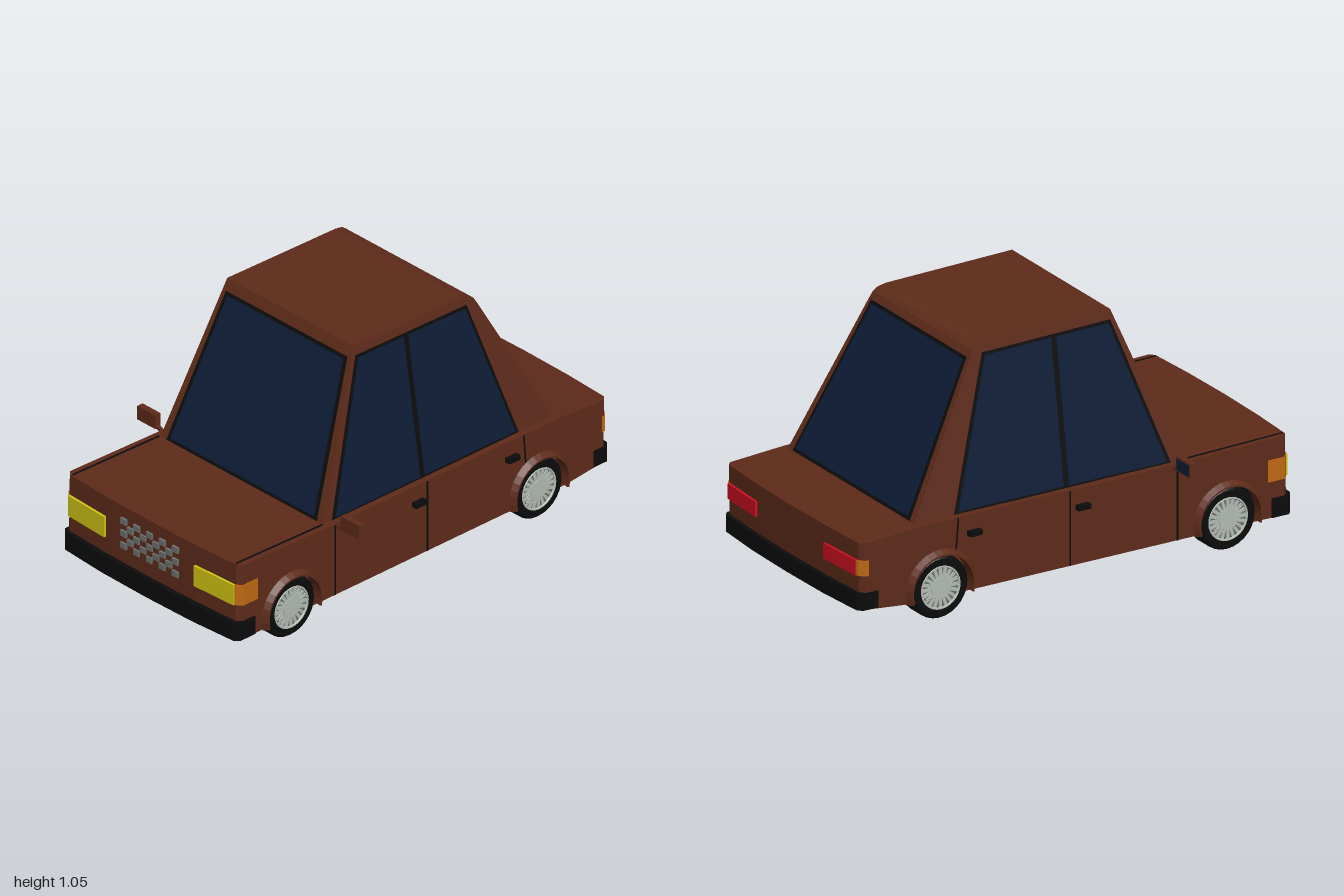
import * as THREE from 'three';

const mat = (color) => new THREE.MeshStandardMaterial({ color, flatShading: true, side: THREE.DoubleSide });

// Plan curvature of nose and tail: how far the ends pull in at a given z
function inset(z) {
  const a = Math.abs(z);
  if (a < 0.25) return a * 0.016;
  return 0.004 + (Math.min(a, 0.465) - 0.25) * 0.05 + Math.max(0, a - 0.465) * 0.9;
}

// Side profile (x, y) swept through z stations; width(y) scales each station,
// cap is an optional different outline for the two ends
function loft(profile, zs, width = () => 1, cap = profile) {
  const ccw = (pts) => {
    const v = pts.map(([x, y]) => new THREE.Vector2(x, y));
    return THREE.ShapeUtils.isClockWise(v) ? v.reverse() : v;
  };
  const pos = [];
  const put = (p, s) => {
    const z = s * width(p.y);
    const x = Math.abs(p.x) > 0.9 ? p.x - Math.sign(p.x) * inset(z) : p.x;
    pos.push(x, p.y, z);
  };
  const ring = ccw(profile), end = ccw(cap);
  for (let k = 0; k < zs.length - 1; k++) {
    ring.forEach((p, i) => {
      const q = ring[(i + 1) % ring.length], a = zs[k], b = zs[k + 1];
      put(p, a); put(q, a); put(q, b);
      put(p, a); put(q, b); put(p, b);
    });
  }
  for (const [a, b, c] of THREE.ShapeUtils.triangulateShape(end, [])) {
    [a, b, c].forEach((i) => put(end[i], zs[zs.length - 1]));
    [a, c, b].forEach((i) => put(end[i], zs[0]));
  }
  const g = new THREE.BufferGeometry();
  g.setAttribute('position', new THREE.Float32BufferAttribute(pos, 3));
  g.computeVertexNormals();
  return g;
}

const rect = (x0, x1, y0, y1) => [[x0, y0], [x1, y0], [x1, y1], [x0, y1]];

export function createModel() {
  const car = new THREE.Group();
  car.name = 'car';
  const paint = mat(0x5e2b1a), black = mat(0x0c0c0c), glass = mat(0x0e1d36);
  const red = mat(0xcc1020), orange = mat(0xc06a14), yellow = mat(0xd0c414);
  const alloy = mat(0xb4bcb4), darkAlloy = mat(0x6c726e);

  const add = (name, geo, m, parent = car) => {
    const mesh = new THREE.Mesh(geo, m);
    mesh.name = name;
    parent.add(mesh);
    return mesh;
  };
  const box = (name, m, x0, x1, y0, y1, z0, z1, parent = car) => {
    const mesh = add(name, new THREE.BoxGeometry(x1 - x0, y1 - y0, Math.abs(z1 - z0)), m, parent);
    mesh.position.set((x0 + x1) / 2, (y0 + y1) / 2, (z0 + z1) / 2);
    return mesh;
  };

  // Lower body: hollow hull with wheel arches cut in both sides
  const axles = [-0.69, 0.61], axleY = 0.13;
  const upper = [[0.75, 0.09], [0.98, 0.11], [0.985, 0.385], [0.71, 0.4], [-0.49, 0.405], [-0.975, 0.417], [-0.98, 0.09]];
  const notches = axles.flatMap((cx) => Array.from({ length: 17 }, (_, i) => {
    const a = Math.PI + 0.29 - (i / 16) * (Math.PI + 0.58);
    return [cx + 0.14 * Math.cos(a), axleY + 0.14 * Math.sin(a)];
  }));
  const full = [-0.485, -0.465, -0.25, 0, 0.25, 0.465, 0.485];
  add('lowerBody', loft(upper, full, undefined, [...notches, ...upper]), paint);

  // Cabin tapering towards the roof
  const cabinHalf = (y) => 0.455 - (y - 0.4) * 0.158;
  add('cabin', loft([[-0.5, 0.39], [0.715, 0.39], [0.4, 0.99], [0.385, 1.015], [0.365, 1.03], [0.33, 1.037], [-0.24, 1.05]],
    [-1, 1], cabinHalf), paint);

  // Side windows: black frame, then two panes either side of the pillar
  add('sideWindowFrames', loft([[-0.45, 0.402], [0.53, 0.402], [0.345, 1.0], [-0.235, 1.01]],
    [-1, 1], (y) => cabinHalf(y) + 0.003), black);
  const pane = (y) => cabinHalf(y) + 0.006;
  add('frontSideWindows', loft([[-0.43, 0.412], [0.012, 0.412], [0.012, 0.995], [-0.225, 0.998]], [-1, 1], pane), glass);
  add('rearSideWindows', loft([[0.036, 0.412], [0.512, 0.412], [0.335, 0.988], [0.036, 0.995]], [-1, 1], pane), glass);

  // Windscreen and rear window: thin slabs lying on the sloped cabin ends
  const screen = (name, [x0, y0], [x1, y1], t0, t1, lift, trim, m) => {
    const dx = x1 - x0, dy = y1 - y0, s = Math.sign(x0) / Math.hypot(dx, dy);
    const at = (t, d) => [x0 + dx * t + dy * s * d, y0 + dy * t - dx * s * d];
    add(name, loft([at(t0, lift), at(t1, lift), at(t1, -0.008), at(t0, -0.008)],
      [-1, 1], (y) => 0.42 - trim - (y - 0.4) * 0.134), m);
  };
  for (const [name, base, top, t] of [
    ['windscreen', [-0.496, 0.4], [-0.24, 1.05], 0.93],
    ['rearWindow', [0.71, 0.4], [0.4, 0.99], 0.995],
  ]) {
    screen(name + 'Frame', base, top, 0.005, t, 0.003, 0, black);
    screen(name + 'Glass', base, top, 0.025, t - 0.02, 0.006, 0.017, glass);
  }

  // Bumpers follow the curved ends
  const wide = full.map((z) => z * 1.01);
  add('frontBumper', loft(rect(-1.0, -0.92, 0.09, 0.17), wide), black);
  add('rearBumper', loft(rect(0.93, 1.0, 0.11, 0.18), wide), black);

  // Grille of alternating small blocks
  const grille = new THREE.Group();
  grille.name = 'grille';
  car.add(grille);
  for (let r = 0; r < 5; r++) {
    for (let c = r % 2; c < 9; c += 2) {
      const z = -0.16 + c * 0.036, y = 0.235 + r * 0.027;
      box('grilleBlock', darkAlloy, -0.984, -0.97, y, y + 0.025, z, z + 0.032, grille);
    }
  }

  // Wheel parts share geometry
  const tyreGeo = new THREE.LatheGeometry([[0, -0.052], [0.118, -0.052], [0.128, -0.04], [0.128, 0.04], [0.118, 0.052], [0.09, 0.052], [0.086, 0.04], [0, 0.04]]
    .map(([r, h]) => new THREE.Vector2(r, h)), 28).rotateX(Math.PI / 2);
  const disc = (r, d) => new THREE.CylinderGeometry(r, r, d, 24).rotateX(Math.PI / 2);
  const rimGeo = disc(0.087, 0.01), hubGeo = disc(0.042, 0.012);
  const spokeGeo = new THREE.BoxGeometry(0.046, 0.013, 0.01).translate(0.062, 0, 0);
  const lipGeo = new THREE.TorusGeometry(0.086, 0.005, 6, 28);
  const flareGeo = new THREE.LatheGeometry([[0.136, -0.03], [0.136, 0.024], [0.143, 0.024], [0.157, 0]]
    .map(([r, h]) => new THREE.Vector2(r, h)), 18, Math.PI / 2 - 0.28, Math.PI + 0.56).rotateX(Math.PI / 2);
  flareGeo.rotateZ(Math.PI - 0);
  // Turn the open part of the flare to the ground
  flareGeo.computeBoundingBox();
  const fb = flareGeo.boundingBox;
  if (Math.abs(fb.max.x + fb.min.x) > 0.02) flareGeo.rotateZ(fb.max.x > -fb.min.x ? Math.PI / 2 : -Math.PI / 2);
  else if (-fb.min.y > fb.max.y) flareGeo.rotateZ(Math.PI);

  // Everything mirrored on both sides
  for (const s of [1, -1]) {
    const side = new THREE.Group();
    side.name = s > 0 ? 'leftSideParts' : 'rightSideParts';
    car.add(side);
    for (const x of axles) {
      const wheel = new THREE.Group();
      wheel.name = 'wheel';
      wheel.position.set(x, axleY - 0.002, s * 0.434);
      wheel.rotation.y = s > 0 ? 0 : Math.PI;
      side.add(wheel);
      add('tyre', tyreGeo, black, wheel);
      add('rim', rimGeo, darkAlloy, wheel).position.z = 0.04;
      add('rimLip', lipGeo, alloy, wheel).position.z = 0.05;
      add('hubCap', hubGeo, alloy, wheel).position.z = 0.047;
      for (let i = 0; i < 20; i++) {
        const spoke = add('spoke', spokeGeo, alloy, wheel);
        spoke.position.z = 0.045;
        spoke.rotation.z = (i / 20) * Math.PI * 2;
      }
      const flare = add('wheelArchFlare', flareGeo, paint, side);
      flare.position.set(x, axleY, s * 0.485);
      flare.scale.z = s;
    }
    // Lamps
    const span = (...z) => z.map((v) => v * s).sort((a, b) => a - b);
    add('headlamp', loft(rect(-0.987, -0.95, 0.24, 0.33), span(0.25, 0.36, 0.462)), yellow, side);
    add('frontIndicator', loft(rect(-0.982, -0.905, 0.24, 0.33), span(0.462, 0.47, 0.489)), orange, side);
    add('tailLamp', loft(rect(0.95, 0.995, 0.25, 0.313), span(0.245, 0.35, 0.458)), red, side);
    add('rearIndicator', loft(rect(0.975, 0.99, 0.25, 0.313), span(0.458, 0.467, 0.49)), orange, side);
    // Door seams, handles and bonnet seam
    box('doorSeam', black, -0.464, -0.457, 0.09, 0.4, s * 0.48, s * 0.487, side);
    box('doorSeam', black, 0.021, 0.028, 0.09, 0.4, s * 0.48, s * 0.487, side);
    box('doorSeam', black, 0.532, 0.538, 0.272, 0.4, s * 0.48, s * 0.487, side).rotation.z = 0.08;
    for (const x of [-0.057, 0.433]) box('doorHandle', black, x, x + 0.057, 0.318, 0.338, s * 0.48, s * 0.51, side);
    box('bonnetSeam', black, -0.955, -0.5, 0.404, 0.4135, s * 0.453, s * 0.461, side).rotation.z = -0.024;
    // Door mirror
    box('mirrorHousing', paint, -0.462, -0.434, 0.395, 0.455, s * 0.518, s * 0.62, side);
    box('mirrorGlass', glass, -0.436, -0.431, 0.402, 0.448, s * 0.527, s * 0.611, side);
    box('mirrorArm', paint, -0.455, -0.441, 0.388, 0.4, s * 0.47, s * 0.53, side).rotation.x = -s * 0.25;
  }
  return car;
}
